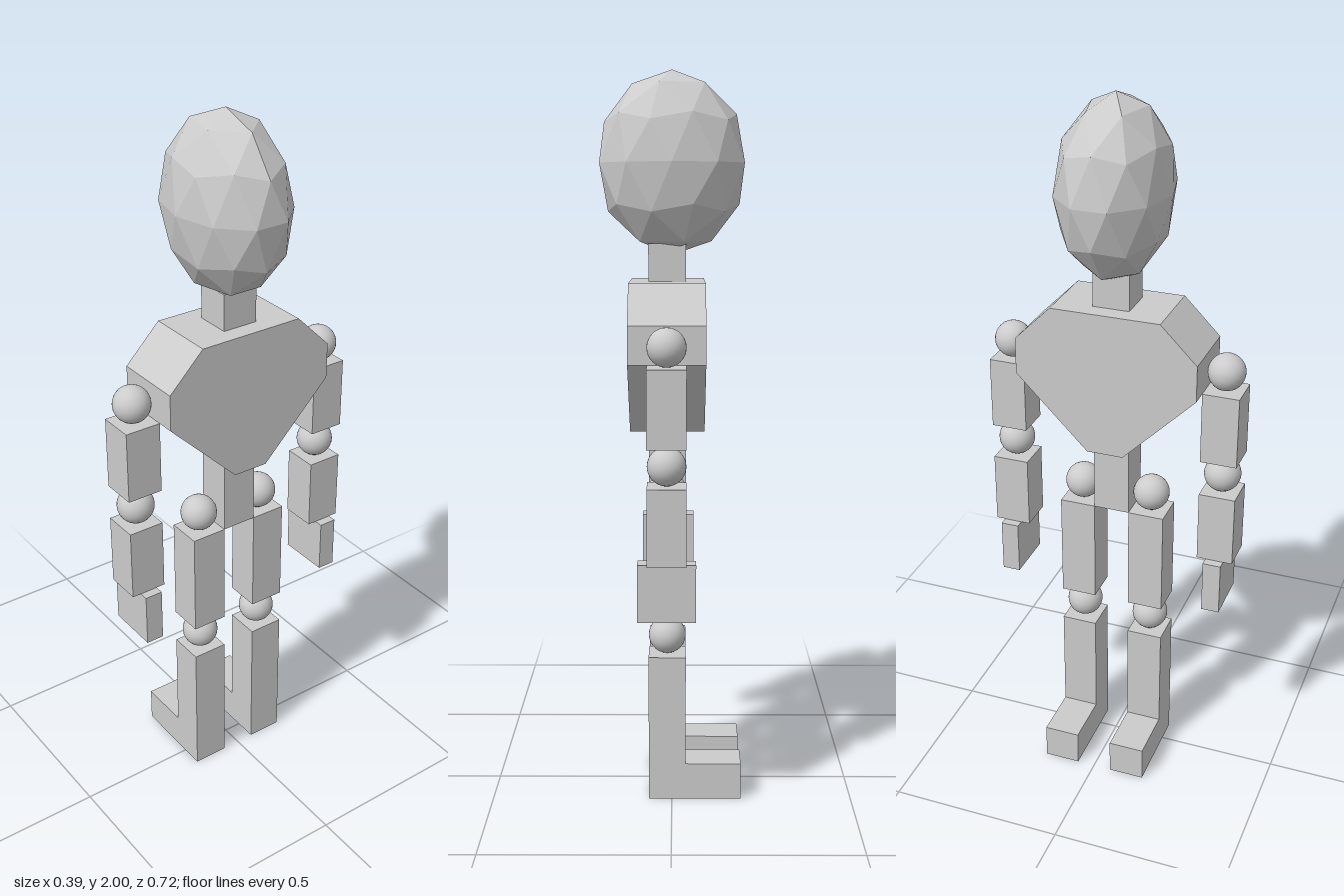
import * as THREE from 'three';

const U = 0.1026;   // limb thickness, the unit of the figure
const CX = 0.0128;  // x of the body axis; the figure faces -x
const grey = new THREE.MeshStandardMaterial({ color: 0xcccccc });
const greyFlat = new THREE.MeshStandardMaterial({ color: 0xcccccc, flatShading: true });

function add(parent, name, geometry, x, y, z, material = greyFlat) {
  const mesh = new THREE.Mesh(geometry, material);
  mesh.name = name;
  mesh.position.set(x, y, z);
  parent.add(mesh);
}

// Box given by its bottom and top heights
function block(parent, name, y0, y1, z, width = U, depth = U) {
  add(parent, name, new THREE.BoxGeometry(width, y1 - y0, depth), CX, (y0 + y1) / 2, z);
}

function joint(parent, name, y, z) {
  add(parent, name, new THREE.SphereGeometry(U / 2, 32, 16), CX, y, z, grey);
}

// Outline in its own plane, extruded evenly about the middle
function slab(points, thickness) {
  const shape = new THREE.Shape(points.map(([a, b]) => new THREE.Vector2(a, b)));
  return new THREE.ExtrudeGeometry(shape, { depth: thickness, bevelEnabled: false })
    .translate(0, 0, -thickness / 2);
}

export function createModel() {
  const figure = new THREE.Group();
  figure.name = 'jointedFigure';

  // Head: faceted ball turned to stand on a vertex, stretched into an egg
  const head = new THREE.IcosahedronGeometry(1, 1);
  head.rotateZ(-Math.atan(2 / (1 + Math.sqrt(5))));
  head.scale(2 * U, 2.4 * U, 1.5 * U);
  add(figure, 'head', head, 0, 2 - 2.4 * U, 0);

  // Trunk: neck, chamfered chest and waist
  block(figure, 'neck', 14 * U, 15 * U, 0);
  const half = [[0.5, 10], [2.5, 12], [2.5, 13], [1.5, 14]];
  const outline = [...half, ...half.map(([z, y]) => [-z, y]).reverse()]
    .map(([z, y]) => [z * U, y * U]);
  add(figure, 'chest', slab(outline, 2 * U).rotateY(Math.PI / 2), CX, 0, 0);
  block(figure, 'waist', 8 * U, 10 * U, 0);

  for (const side of [-1, 1]) {
    // Arm
    const arm = new THREE.Group();
    arm.name = side < 0 ? 'armBack' : 'armFront';
    const az = side * 3 * U;
    joint(arm, 'shoulderJoint', 12.5 * U, az);
    block(arm, 'upperArm', 10 * U, 12 * U, az);
    joint(arm, 'elbowJoint', 9.5 * U, az);
    block(arm, 'forearm', 7 * U, 9 * U, az);
    block(arm, 'hand', 5.5 * U, 7 * U, az, 1.5 * U, 0.5 * U);

    // Leg, with shin and foot in one L-shaped piece
    const leg = new THREE.Group();
    leg.name = side < 0 ? 'legBack' : 'legFront';
    const lz = side * U;
    joint(leg, 'hipJoint', 8.5 * U, lz);
    block(leg, 'thigh', 5 * U, 8 * U, lz);
    joint(leg, 'kneeJoint', 4.5 * U, lz);
    const profile = [[-2, 0], [0.5, 0], [0.5, 4], [-0.5, 4], [-0.5, 1], [-2, 1]]
      .map(([x, y]) => [x * U, y * U]);
    add(leg, 'shinAndFoot', slab(profile, U), CX, 0, lz);

    figure.add(arm, leg);
  }
  return figure;
}
